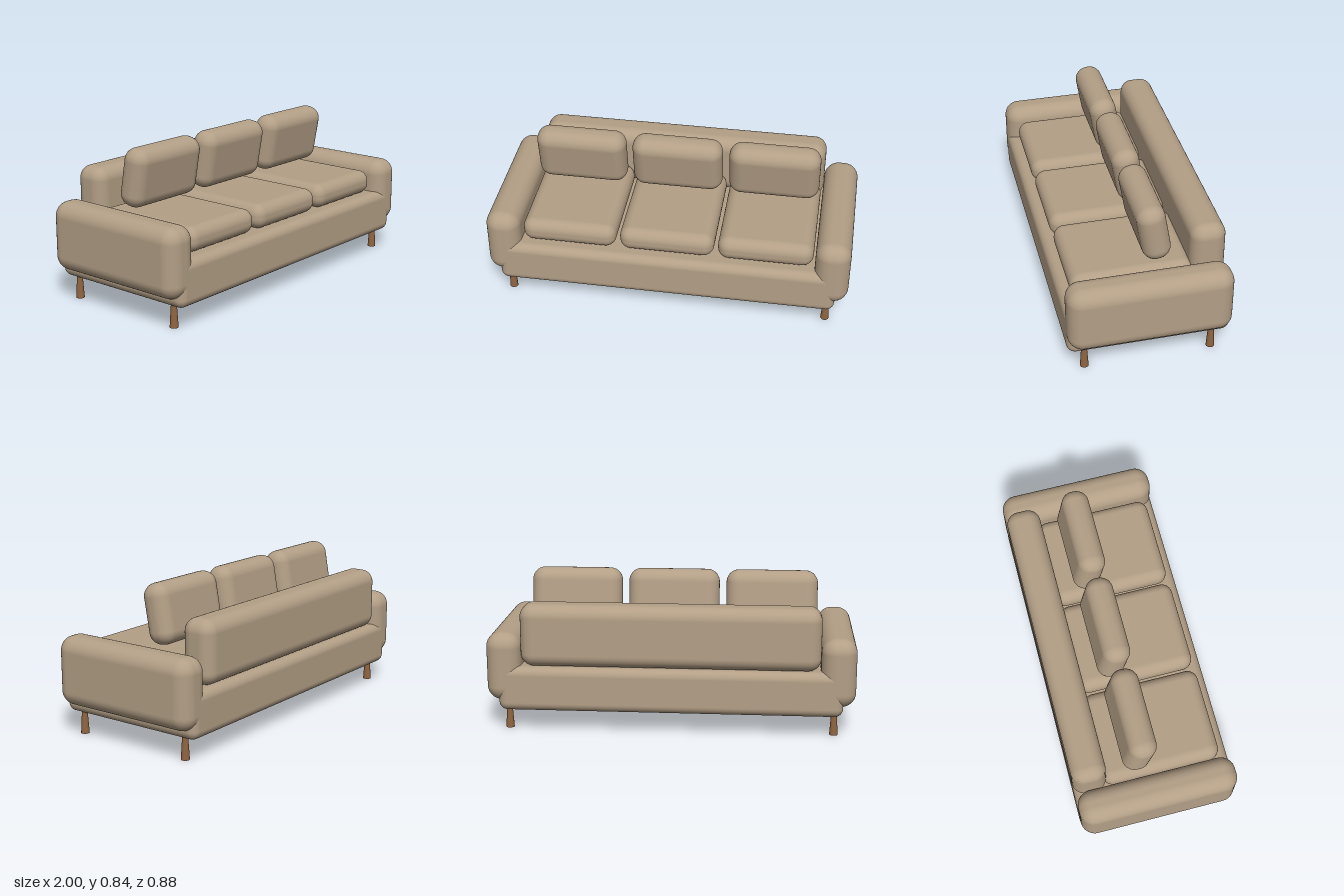
import * as THREE from 'three';
import { RoundedBoxGeometry } from 'three/addons/geometries/RoundedBoxGeometry.js';

export function createModel() {
  const sofa = new THREE.Group();
  sofa.name = 'sofa';

  const fabric = new THREE.MeshStandardMaterial({ color: 0xb39f86 });
  fabric.name = 'beige fabric';
  const wood = new THREE.MeshStandardMaterial({ color: 0x8f6440 });
  wood.name = 'brown wood';

  // Soft upholstered block, placed by its centre
  function pad(name, [w, h, d], radius, [x, y, z], tilt = 0) {
    const mesh = new THREE.Mesh(new RoundedBoxGeometry(w, h, d, 6, radius), fabric);
    mesh.name = name;
    mesh.position.set(x, y, z);
    mesh.rotation.x = tilt;
    sofa.add(mesh);
  }

  // Frame: base and backrest
  pad('base', [1.864, 0.246, 0.874], 0.047, [0, 0.24, 0]);
  pad('backrest', [1.62, 0.342, 0.189], 0.07, [0, 0.534, -0.343]);

  // Armrests
  for (const side of [-1, 1]) {
    pad(side > 0 ? 'leftArm' : 'rightArm', [0.19, 0.377, 0.875], 0.08, [side * 0.905, 0.3545, 0]);
  }

  // Three seat cushions with a forward-leaning back cushion over each
  ['right', 'middle', 'left'].forEach((label, i) => {
    const x = (i - 1) * 0.54;
    pad(label + 'SeatCushion', [0.518, 0.135, 0.655], 0.06, [x, 0.43, 0.058]);
    pad(label + 'BackCushion', [0.502, 0.324, 0.153], 0.07, [x, 0.681, -0.06], THREE.MathUtils.degToRad(10));
  });

  // Legs, flaring toward the floor
  const legGeometry = new THREE.CylinderGeometry(0.015, 0.023, 0.125, 20);
  for (const x of [-0.887, 0.887]) {
    for (const z of [-0.343, 0.343]) {
      const leg = new THREE.Mesh(legGeometry, wood);
      leg.name = (z > 0 ? 'front' : 'back') + (x > 0 ? 'Left' : 'Right') + 'Leg';
      leg.position.set(x, 0.0625, z);
      sofa.add(leg);
    }
  }

  return sofa;
}
